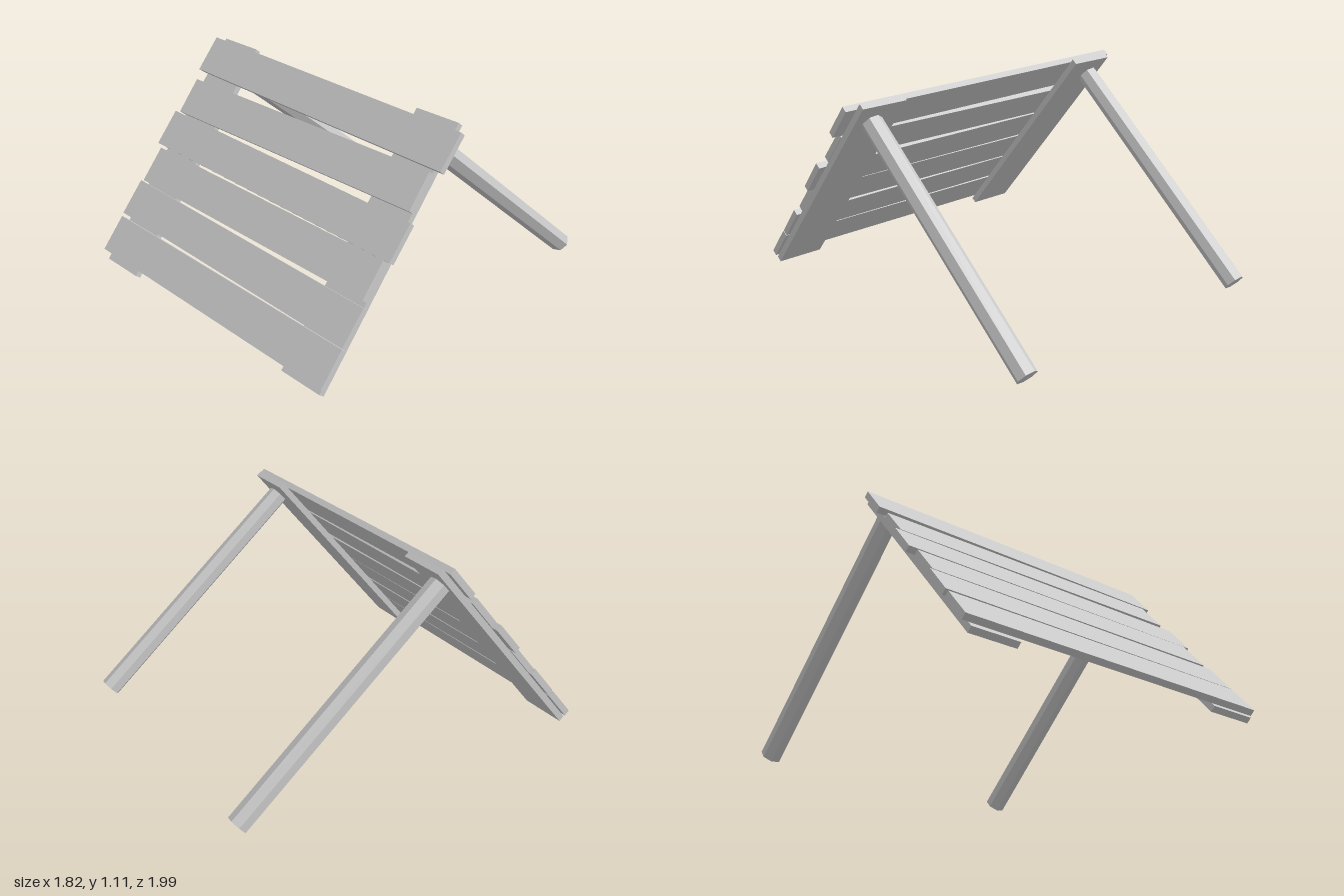
import * as THREE from 'three';

const TILT = 0.693;      // backward lean of the panel
const FACE = 0.82;       // distance of the plank faces along the panel normal
const THICK = 0.034;     // board thickness

export function createModel() {
  const model = new THREE.Group();
  model.name = 'slattedStand';
  const mat = new THREE.MeshStandardMaterial({ color: 0xcccccc, flatShading: true });

  function add(parent, name, geometry) {
    const mesh = new THREE.Mesh(geometry, mat);
    mesh.name = name;
    parent.add(mesh);
    return mesh;
  }

  // Leaning panel: local y runs up the slope, local z is the outward normal
  const panel = new THREE.Group();
  panel.name = 'panel';
  panel.rotation.x = -TILT;
  model.add(panel);

  // Height on the plank face converted to distance up the slope
  const slope = (y) => (y - FACE * Math.sin(TILT)) / Math.cos(TILT);

  // Uneven planks: left end x, right end x, top height at each end
  const planks = [
    [-0.9, 0.907, 1.117, 1.097],
    [-0.877, 0.85, 0.917, 0.928],
    [-0.912, 0.885, 0.755, 0.737],
    [-0.873, 0.846, 0.586, 0.58],
    [-0.893, 0.868, 0.424, 0.403],
    [-0.891, 0.867, 0.253, 0.244],
  ];
  const plankHeight = 0.203;
  planks.forEach(([x0, x1, y0, y1], i) => {
    const rise = slope(y1) - slope(y0);
    const plank = add(panel, `plank${i + 1}`,
      new THREE.BoxGeometry(Math.hypot(x1 - x0, rise), plankHeight, THICK));
    plank.position.set((x0 + x1) / 2, (slope(y0) + slope(y1) - plankHeight) / 2, FACE - THICK / 2);
    plank.rotation.z = Math.atan2(rise, x1 - x0);
  });

  // Battens behind the planks, and the seven-sided legs propping them
  const foot = new THREE.Vector3(0, 0.045, -0.963);
  const head = new THREE.Vector3(0, 0.99, 0.153);
  const axis = head.clone().sub(foot);
  const sides = [
    { side: 'right', battenX: -0.73, legX: -0.778 },
    { side: 'left', battenX: 0.716, legX: 0.742 },
  ];
  for (const { side, battenX, legX } of sides) {
    const batten = add(panel, `${side}Batten`, new THREE.BoxGeometry(0.26, 1.382, THICK));
    batten.position.set(battenX, 0.099, FACE - THICK * 1.5);

    const leg = add(model, `${side}Leg`,
      new THREE.CylinderGeometry(0.056, 0.056, axis.length(), 7, 1, false, Math.PI / 2));
    leg.position.copy(foot).add(head).multiplyScalar(0.5).setX(legX);
    leg.rotation.x = Math.atan2(axis.z, axis.y);
  }

  return model;
}
